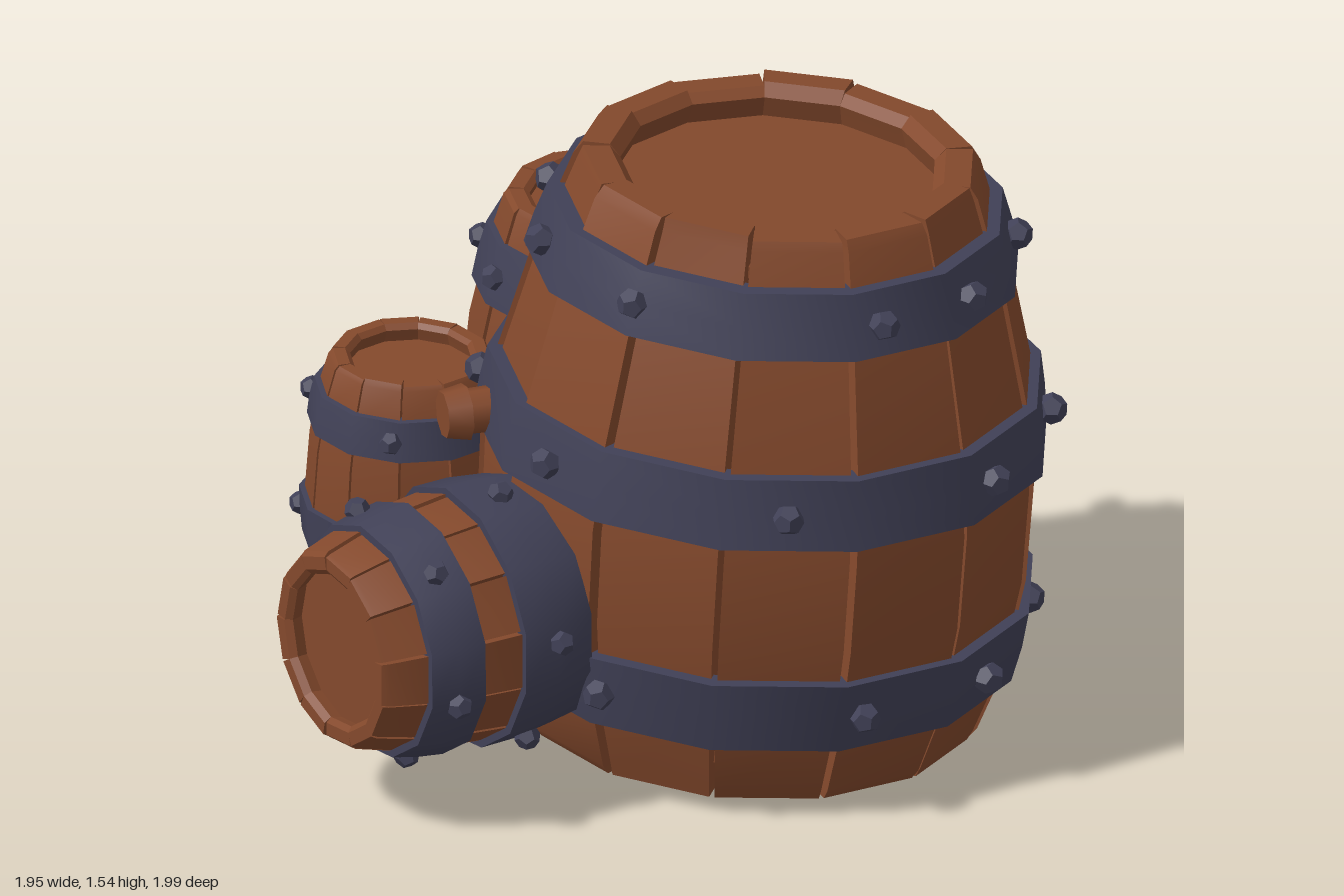
import * as THREE from 'three';
import { toCreasedNormals } from 'three/addons/utils/BufferGeometryUtils.js';

const wood = new THREE.MeshStandardMaterial({ color: 0x84492c });
wood.name = 'wood';
const iron = new THREE.MeshStandardMaterial({ color: 0x414157 });
iron.name = 'iron';

// Seeded jitter in the range -1..1
let seed = 7;
function jitter() {
  seed = (seed * 16807) % 2147483647;
  return (seed / 2147483647) * 2 - 1;
}

function add(parent, name, geometry, material) {
  const mesh = new THREE.Mesh(geometry, material);
  mesh.name = name;
  parent.add(mesh);
  return mesh;
}

// Barrel radius at height y, read from a [radius, height] profile
function radiusAt(profile, y) {
  for (let i = 1; i < profile.length; i++) {
    const [r0, y0] = profile[i - 1], [r1, y1] = profile[i];
    if (y <= y1) return r0 + (r1 - r0) * (y - y0) / (y1 - y0);
  }
  return profile[profile.length - 1][0];
}

// One bowed plank: four-cornered sections lofted up the profile, chamfered at both ends
function staveGeometry(profile, a0, a1, thick, gap) {
  const bump = jitter() * thick * 0.07;
  const topShift = jitter() * thick * 0.08;
  const n = profile.length;
  const c = thick * 0.25;
  const [rb, yb] = profile[0], [rt, yt] = profile[n - 1];
  const sections = [
    [rb - c * 0.6, rb - thick + c, yb],
    ...profile.map(([r, y], i) => [r + bump, r - thick, i === 0 ? y + c : i === n - 1 ? y - c : y]),
    [rt - c * 0.6, rt - thick + c, yt + topShift],
  ];
  const pos = [], index = [];
  const put = (r, a, y) => pos.push(r * Math.sin(a), y, r * Math.cos(a));
  for (const [outer, inner, y] of sections) {
    put(outer, a0 + gap, y);
    put(outer, a1 - gap, y);
    put(inner, a1, y);
    put(inner, a0, y);
  }
  for (let i = 0; i < sections.length - 1; i++) {
    for (let j = 0; j < 4; j++) {
      const a = i * 4 + j, b = i * 4 + (j + 1) % 4;
      index.push(a, b, b + 4, a, b + 4, a + 4);
    }
  }
  const t = (sections.length - 1) * 4;
  index.push(0, 2, 1, 0, 3, 2, t, t + 1, t + 2, t, t + 2, t + 3);
  const g = new THREE.BufferGeometry();
  g.setAttribute('position', new THREE.Float32BufferAttribute(pos, 3));
  g.setIndex(index);
  return toCreasedNormals(g, 0.5);
}

// Closed iron band that follows the barrel's slope
function hoopGeometry(profile, y, width, lift, sides) {
  const lo = y - width / 2, hi = y + width / 2;
  const rl = radiusAt(profile, lo), rh = radiusAt(profile, hi);
  const points = [[rl - lift, lo], [rl + lift, lo], [radiusAt(profile, y) + lift * 1.1, y],
    [rh + lift, hi], [rh - lift, hi], [rl - lift, lo]].map(([r, h]) => new THREE.Vector2(r, h));
  return toCreasedNormals(new THREE.LatheGeometry(points, sides), 0.6);
}

// hoops: [height, width, rivet angles in degrees]
function barrel(name, { profile, staves, thick, inset, lift, rivet, hoops, base, axis }) {
  const g = new THREE.Group();
  g.name = name;
  const step = Math.PI * 2 / staves;
  for (let i = 0; i < staves; i++) {
    add(g, 'stave', staveGeometry(profile, i * step, (i + 1) * step, thick, 0.012), wood);
  }
  // Recessed end boards
  const bottom = profile[0][1], top = profile[profile.length - 1][1];
  for (const [end, y] of [['bottomBoard', bottom + inset], ['topBoard', top - inset]]) {
    const r = radiusAt(profile, y) - thick * 0.6;
    add(g, end, new THREE.CylinderGeometry(r, r, 0.03, staves), wood).position.y = y;
  }
  for (const [y, width, angles] of hoops) {
    add(g, 'hoop', hoopGeometry(profile, y, width, lift, staves), iron);
    // Faceted studs around the band
    for (const deg of angles) {
      const a = THREE.MathUtils.degToRad(deg);
      const r = radiusAt(profile, y) + lift + rivet * 0.1;
      const stud = add(g, 'rivet', new THREE.DodecahedronGeometry(rivet), iron);
      stud.position.set(r * Math.sin(a), y, r * Math.cos(a));
      stud.rotation.y = a;
    }
  }
  g.position.set(...base);
  g.quaternion.setFromUnitVectors(new THREE.Vector3(0, 1, 0), new THREE.Vector3(...axis).normalize());
  return g;
}

export function createModel() {
  seed = 7;
  const model = new THREE.Group();
  model.name = 'barrelStack';

  model.add(barrel('largeBarrel', {
    profile: [[0.58, 0], [0.64, 0.2], [0.68, 0.45], [0.685, 0.7], [0.655, 0.92], [0.585, 1.2], [0.5, 1.48]],
    staves: 13, thick: 0.11, inset: 0.1, lift: 0.032, rivet: 0.04,
    hoops: [
      [0.27, 0.19, [3, 60, 94, 135, 180, 225, 270, 318]],
      [0.83, 0.18, [-14, 41, 90, 127, 160, 205, 250, 300]],
      [1.29, 0.16, [0, 63, 91, 129, 175, 230, 285, 320]],
    ],
    base: [0.2, 0.02, -0.18], axis: [0.04, 1, -0.04],
  }));

  model.add(barrel('mediumBarrel', {
    profile: [[0.28, 0], [0.33, 0.14], [0.35, 0.32], [0.335, 0.52], [0.295, 0.72], [0.26, 0.86]],
    staves: 13, thick: 0.06, inset: 0.06, lift: 0.02, rivet: 0.033,
    hoops: [
      [0.24, 0.17, [20, 150, 205, 250, 300]],
      [0.69, 0.15, [-25, 100, 160, 215, 292]],
    ],
    base: [-0.57, 0.15, -0.63], axis: [0.02, 1, -0.02],
  }));

  model.add(barrel('smallBarrel', {
    profile: [[0.215, 0], [0.245, 0.1], [0.255, 0.25], [0.245, 0.4], [0.225, 0.53], [0.2, 0.63]],
    staves: 12, thick: 0.05, inset: 0.06, lift: 0.018, rivet: 0.03,
    hoops: [
      [0.19, 0.12, [-65, 15, 110, 200, 250]],
      [0.5, 0.1, [-68, 25, 130, 220]],
    ],
    base: [-0.7, 0.15, -0.01], axis: [0.01, 1, 0],
  }));

  // Barrel lying on its side, its far end sunk into the large one
  model.add(barrel('lyingBarrel', {
    profile: [[0.26, 0], [0.305, 0.14], [0.315, 0.3], [0.3, 0.45], [0.275, 0.58], [0.25, 0.68]],
    staves: 13, thick: 0.055, inset: 0.06, lift: 0.02, rivet: 0.033,
    hoops: [
      [0.22, 0.2, [10, 75, 150, 215, 300]],
      [0.5, 0.14, [-10, 55, 120, 190, 260]],
    ],
    base: [-0.02, 0.45, 0.27], axis: [-0.36, 0, 0.93],
  }));

  // Wooden bung on the large barrel
  const bung = new THREE.Group();
  bung.name = 'bung';
  add(bung, 'bungPlug', new THREE.CylinderGeometry(0.055, 0.06, 0.16, 8), wood);
  add(bung, 'bungCap', new THREE.CylinderGeometry(0.06, 0.072, 0.06, 8), wood).position.y = 0.06;
  bung.position.set(-0.285, 0.85, 0.27);
  bung.quaternion.setFromUnitVectors(new THREE.Vector3(0, 1, 0), new THREE.Vector3(-0.6, 0, 0.8));
  model.add(bung);

  return model;
}
